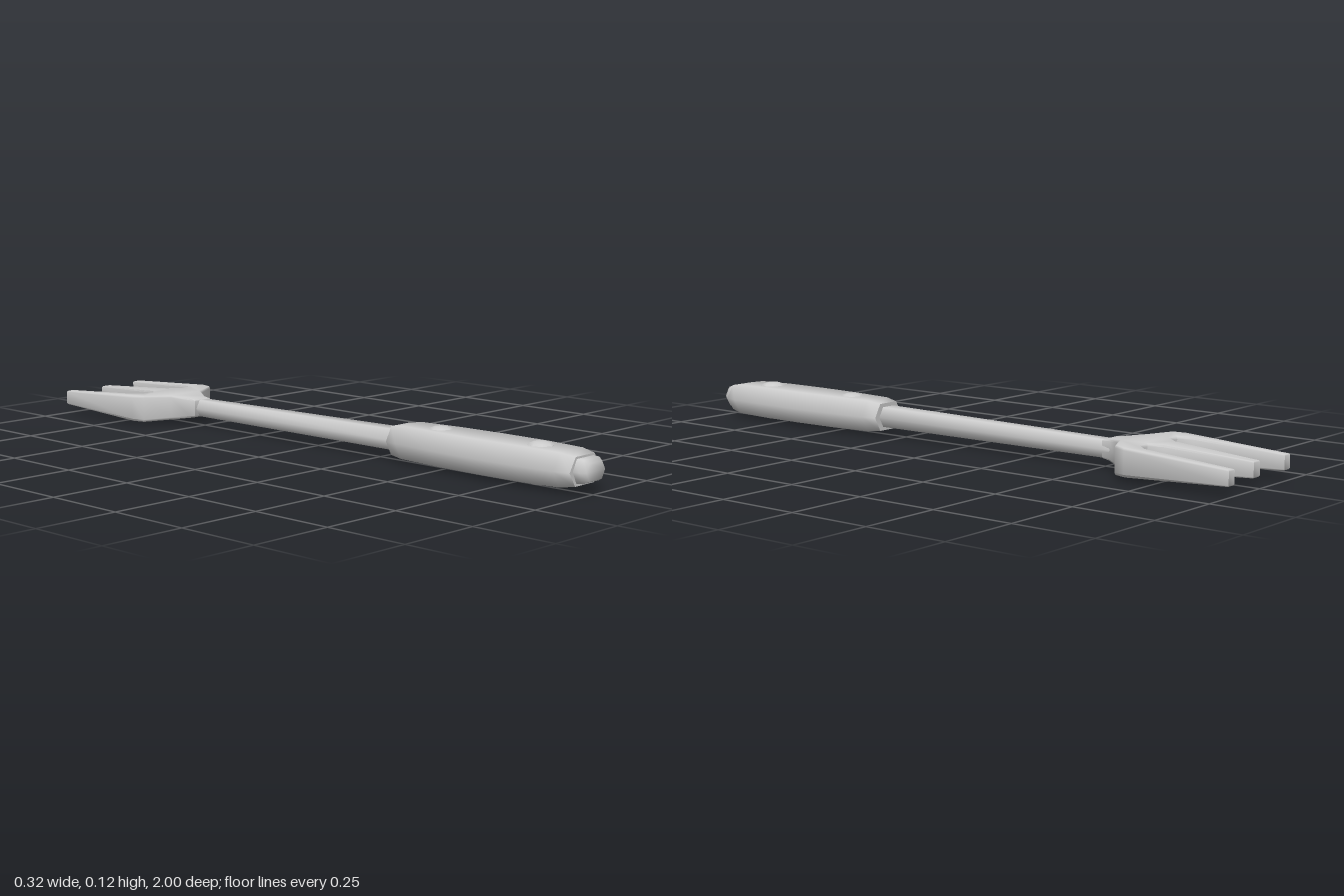
import * as THREE from 'three';
import { toCreasedNormals } from 'three/addons/utils/BufferGeometryUtils.js';

const material = new THREE.MeshStandardMaterial({ color: 0xcccccc });

function addMesh(parent, name, geometry, crease = 1.2) {
  const mesh = new THREE.Mesh(toCreasedNormals(geometry, crease), material);
  mesh.name = name;
  parent.add(mesh);
  return mesh;
}

// Hexagonal loft along z; each section is [z, centreX, centreY, halfWidth, halfHeight, halfFlat]
function hexLoft(sections) {
  const pos = [], idx = [];
  for (const [z, cx, cy, w, h, f] of sections) {
    for (const [x, y] of [[w, 0], [f, h], [-f, h], [-w, 0], [-f, -h], [f, -h]]) pos.push(cx + x, cy + y, z);
  }
  const last = (sections.length - 1) * 6;
  for (let i = 0; i < last; i += 6) {
    for (let j = 0; j < 6; j++) {
      const k = (j + 1) % 6;
      idx.push(i + j, i + k, i + 6 + k, i + j, i + 6 + k, i + 6 + j);
    }
  }
  for (let j = 1; j < 5; j++) {
    idx.push(0, j + 1, j);
    idx.push(last, last + j, last + j + 1);
  }
  const g = new THREE.BufferGeometry();
  g.setAttribute('position', new THREE.Float32BufferAttribute(pos, 3));
  g.setIndex(idx);
  return g;
}

// Piecewise linear lookup through [key, value] pairs
function lookup(table, v) {
  if (v <= table[0][0]) return table[0][1];
  for (let i = 1; i < table.length; i++) {
    const [a, p] = table[i - 1], [b, q] = table[i];
    if (v <= b) return p + (q - p) * (v - a) / (b - a);
  }
  return table[table.length - 1][1];
}

// Three-tined head: extruded outline whose thickness varies along its length
function headGeometry() {
  const half = [
    [0.016, 0.99], [0.034, 0.715], [0.058, 0.68], [0.09, 0.68], [0.117, 0.715], [0.129, 1],
    [0.158, 1], [0.158, 0.67], [0.143, 0.63], [0.065, 0.587], [0.034, 0.535], [0.033, 0.51],
  ];
  const outline = [...half, ...half.map(([x, s]) => [-x, s]).reverse()];
  const shape = new THREE.Shape(outline.map(([x, s]) => new THREE.Vector2(x, s)));
  const g = new THREE.ExtrudeGeometry(shape, {
    depth: 1, bevelThickness: 0.12, bevelSize: 0.007, bevelOffset: -0.007, bevelSegments: 2,
  });
  g.rotateX(-Math.PI / 2);
  const top = [[0.5, 0.082], [0.56, 0.09], [0.62, 0.097], [0.68, 0.094], [1, 0.074]];
  const bottom = [[0.5, 0.03], [0.56, 0.018], [0.62, 0.011], [0.68, 0.012], [1, 0.028]];
  const p = g.attributes.position;
  for (let i = 0; i < p.count; i++) {
    const t = (p.getY(i) + 0.12) / 1.24, s = -p.getZ(i);
    p.setY(i, THREE.MathUtils.lerp(lookup(bottom, s), lookup(top, s), t));
  }
  return g;
}

export function createModel() {
  const model = new THREE.Group();
  model.name = 'handFork';

  // Grip, swelling in the middle
  addMesh(model, 'grip', hexLoft([
    [0.315, 0.01, 0.06, 0.06, 0.042, 0.037],
    [0.36, 0.01, 0.061, 0.072, 0.048, 0.045],
    [0.5, 0.01, 0.061, 0.083, 0.049, 0.055],
    [0.65, 0.01, 0.061, 0.09, 0.049, 0.06],
    [0.8, 0.01, 0.061, 0.087, 0.049, 0.058],
    [0.92, 0.01, 0.061, 0.08, 0.047, 0.052],
    [0.965, 0.01, 0.061, 0.068, 0.04, 0.042],
  ]));

  // End cap
  addMesh(model, 'endCap', hexLoft([
    [0.95, 0.01, 0.062, 0.055, 0.034, 0.038],
    [0.985, 0.01, 0.062, 0.053, 0.032, 0.036],
    [1, 0.01, 0.062, 0.042, 0.024, 0.028],
  ]));

  // Shaft
  addMesh(model, 'shaft', hexLoft([
    [-0.57, 0.002, 0.055, 0.032, 0.026, 0.018],
    [-0.5, 0.006, 0.055, 0.033, 0.026, 0.019],
    [0.35, 0.01, 0.06, 0.042, 0.031, 0.024],
  ]));

  addMesh(model, 'head', headGeometry(), 0.9);

  // Domed rivets on both faces of the grip
  const dome = new THREE.LatheGeometry(
    [[0.038, -0.012], [0.038, 0], [0.032, 0.005], [0.018, 0.009], [0, 0.0105]]
      .map(([r, y]) => new THREE.Vector2(r, y)), 8);
  for (const [z, name] of [[0.47, 'frontRivet'], [0.82, 'rearRivet']]) {
    const up = z > 0.6 ? 0.11 : 0.107;
    addMesh(model, name + 'Top', dome, 1).position.set(0.008, up, z);
    const under = addMesh(model, name + 'Bottom', dome, 1);
    under.position.set(0.008, z > 0.6 ? 0.0105 : 0.0135, z);
    under.rotation.x = Math.PI;
  }
  return model;
}
